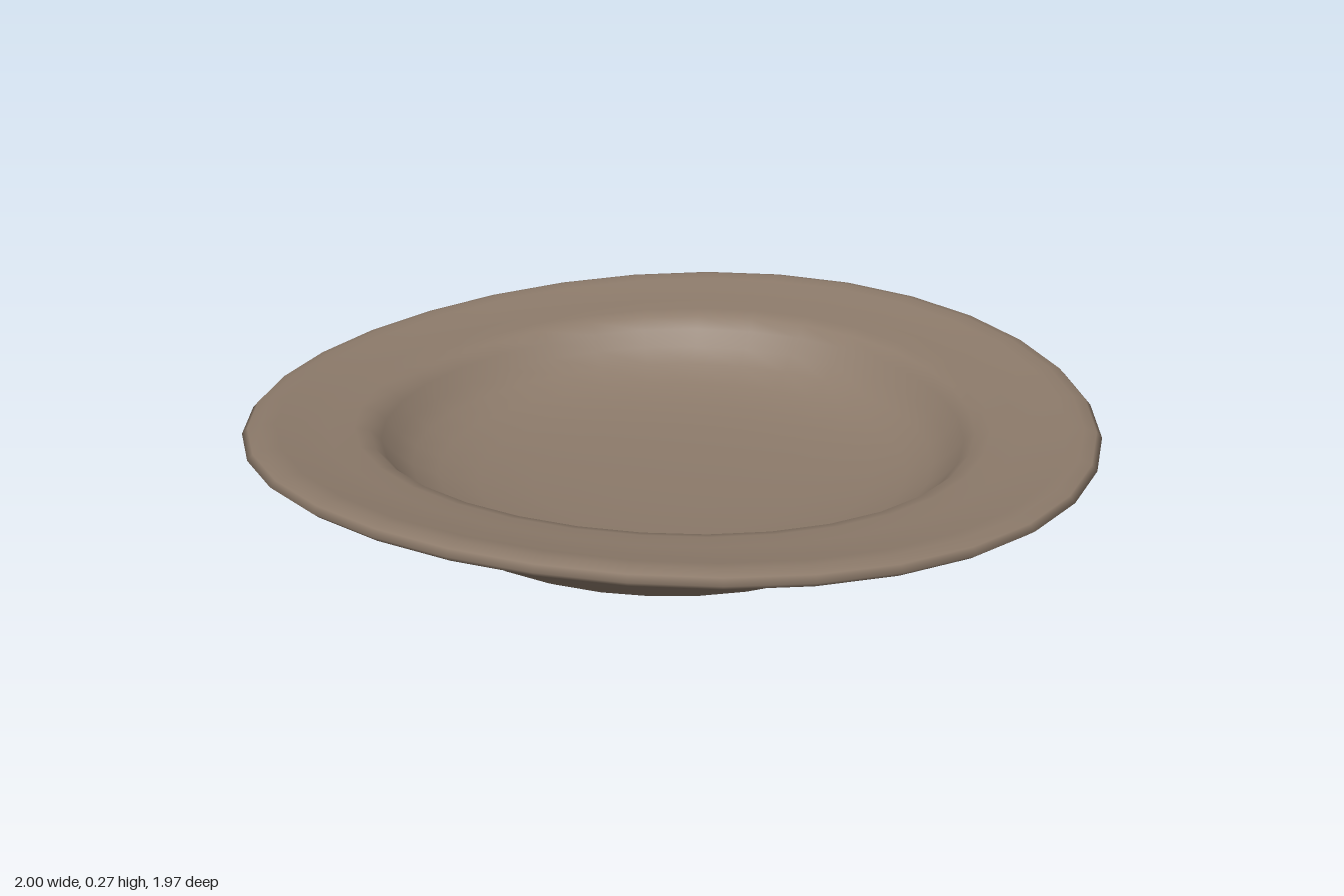
import * as THREE from 'three';
import { mergeVertices } from 'three/addons/utils/BufferGeometryUtils.js';

export function createModel() {
  const group = new THREE.Group();
  const clay = new THREE.MeshStandardMaterial({ color: 0x8c7a6a });
  clay.name = 'brown clay';

  // Closed profile: underside, flared wall, rounded lip, broad rim, well
  const profile = [
    [0, 0.004], [0.3, 0.004], [0.5, 0.007], [0.55, 0.014], [0.585, 0.032],
    [0.61, 0.058], [0.65, 0.09], [0.71, 0.128], [0.78, 0.162], [0.86, 0.19],
    [0.94, 0.207], [0.98, 0.214], [0.998, 0.228], [0.985, 0.242], [0.955, 0.25],
    [0.92, 0.247], [0.87, 0.238], [0.8, 0.232], [0.74, 0.23], [0.705, 0.222],
    [0.68, 0.197], [0.65, 0.162], [0.61, 0.13], [0.55, 0.102], [0.46, 0.08],
    [0.33, 0.066], [0.17, 0.06], [0, 0.058],
  ].map(([r, y]) => new THREE.Vector2(r, y));
  const geometry = new THREE.LatheGeometry(profile, 32);

  // Hand-made warp: the rim rises on one diagonal and dips on the other
  const p = geometry.attributes.position;
  for (let i = 0; i < p.count; i++) {
    const x = p.getX(i), y = p.getY(i), z = p.getZ(i);
    const lift = THREE.MathUtils.smoothstep(y, 0.03, 0.23);
    p.setY(i, y - lift * (0.052 * x * z + 0.006 * x));
    p.setZ(i, z * 0.988);
  }

  // Weld the seam so the shading stays smooth all round
  geometry.deleteAttribute('normal');
  geometry.deleteAttribute('uv');
  const welded = mergeVertices(geometry, 1e-4);
  welded.computeVertexNormals();

  const plate = new THREE.Mesh(welded, clay);
  plate.name = 'plate';
  group.add(plate);
  return group;
}
